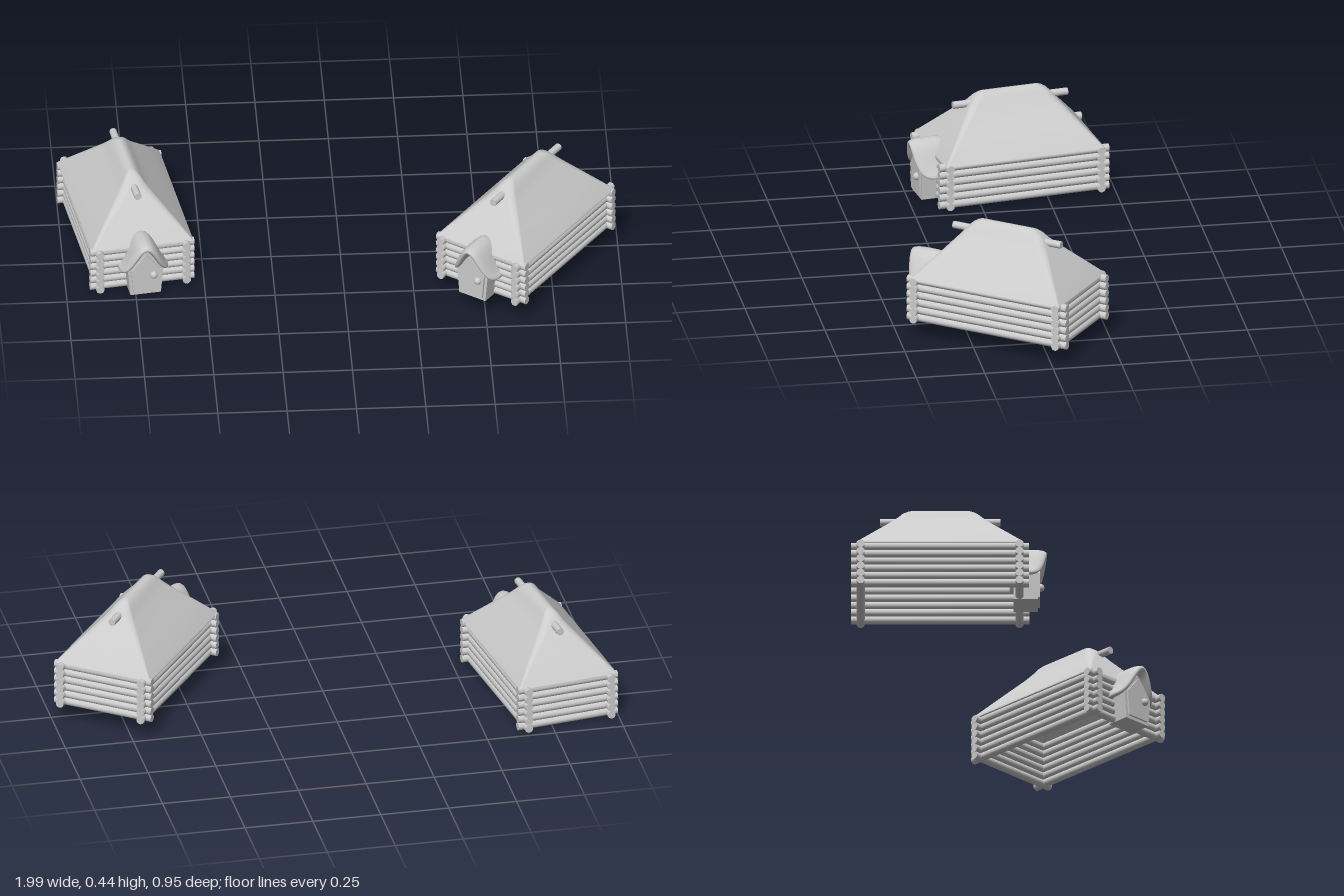
import * as THREE from 'three';

const material = new THREE.MeshStandardMaterial({ color: 0xcccccc, side: THREE.DoubleSide });
const LOG_R = 0.0148, LOG_STEP = 0.0288, LOG_ROWS = 6;

function add(parent, name, geometry, x = 0, y = 0, z = 0) {
  const mesh = new THREE.Mesh(geometry, material);
  mesh.name = name;
  mesh.position.set(x, y, z);
  parent.add(mesh);
  return mesh;
}

// Skin through a list of closed rings with equal point counts
function loft(rings) {
  const n = rings[0].length, pos = [], index = [];
  rings.forEach(ring => ring.forEach(p => pos.push(...p)));
  for (let r = 0; r < rings.length - 1; r++) {
    for (let i = 0; i < n; i++) {
      const a = r * n + i, b = r * n + (i + 1) % n;
      index.push(a, a + n, b, b, a + n, b + n);
    }
  }
  const g = new THREE.BufferGeometry();
  g.setAttribute('position', new THREE.Float32BufferAttribute(pos, 3));
  g.setIndex(index);
  g.computeVertexNormals();
  return g;
}

// Horizontal rounded rectangle with half sizes a (x) and b (z)
function roundedRing(y, a, b, r) {
  const ring = [];
  for (let c = 0; c < 4; c++) {
    const sx = c === 0 || c === 3 ? 1 : -1, sz = c < 2 ? 1 : -1;
    for (let k = 0; k <= 5; k++) {
      const t = (c + k / 5) * Math.PI / 2;
      ring.push([sx * (a - r) + r * Math.cos(t), y, sz * (b - r) + r * Math.sin(t)]);
    }
  }
  return ring;
}

// Hipped roof with a softened ridge: height, half width, half length, corner radius
function roofGeometry() {
  const levels = [
    [0.163, 0.187, 0.300, 0.006], [0.170, 0.187, 0.300, 0.006], [0.24, 0.125, 0.239, 0.016],
    [0.310, 0.062, 0.178, 0.026], [0.335, 0.042, 0.157, 0.026], [0.355, 0.029, 0.139, 0.022],
    [0.367, 0.017, 0.120, 0.015], [0.372, 0.008, 0.104, 0.007], [0.373, 0, 0.095, 0],
  ];
  return loft(levels.map(l => roundedRing(...l)));
}

// Bell-shaped awning: a thick rounded band swept over the doorway
function awningGeometry() {
  const rings = [], steps = 28;
  for (let s = 0; s <= steps; s++) {
    const u = -Math.cos(s / steps * Math.PI);
    const x = 0.09 * u, y = 0.092 + 0.056 * (1 + Math.cos(Math.PI * u));
    const dy = -0.056 * Math.PI * Math.sin(Math.PI * u), len = Math.hypot(0.09, dy);
    const side = Math.sqrt(Math.max(0, 1 - u * u));
    const half = 0.015 * Math.sqrt(side);
    const back = 0.25, front = 0.31 + 0.075 * side;
    const ring = [];
    for (let i = 0; i < 20; i++) {
      const t = i / 20 * Math.PI * 2, c = Math.cos(t);
      const h = half * Math.sin(t);
      const z = (front + back) / 2 + (front - back) / 2 * Math.sign(c) * Math.pow(Math.abs(c), 0.6);
      ring.push([x - dy / len * h, y + 0.09 / len * h, z]);
    }
    rings.push(ring);
  }
  return loft(rings);
}

// Pointed door outline: half width at base, at shoulder, and heights
function doorOutline(target, base, shoulder, bottom, eave, apex) {
  target.moveTo(-base, bottom);
  target.lineTo(base, bottom);
  target.lineTo(shoulder, eave);
  target.lineTo(0, apex);
  target.lineTo(-shoulder, eave);
  target.closePath();
  return target;
}

function extrude(shape, depth) {
  return new THREE.ExtrudeGeometry(shape, { depth, bevelEnabled: false });
}

function createHouse(name) {
  const house = new THREE.Group();
  house.name = name;

  // Stacked log walls with crossing ends
  const walls = new THREE.Group();
  walls.name = 'logWalls';
  house.add(walls);
  const longLog = new THREE.CylinderGeometry(LOG_R, LOG_R, 0.642, 14).rotateX(Math.PI / 2);
  const crossLog = new THREE.CylinderGeometry(LOG_R, LOG_R, 0.382, 14).rotateZ(Math.PI / 2);
  for (let row = 0; row < LOG_ROWS; row++) {
    const y = LOG_R + row * LOG_STEP;
    for (const s of [-1, 1]) {
      add(walls, 'sideLog', longLog, s * 0.159, y, 0);
      add(walls, s > 0 ? 'frontLog' : 'backLog', crossLog, 0, y, s * 0.286);
    }
  }

  add(house, 'roof', roofGeometry());

  // Ridge pole poking out of both hips
  add(house, 'ridgePole', new THREE.CylinderGeometry(0.0135, 0.0135, 0.434, 14).rotateX(Math.PI / 2), 0, 0.329, 0);

  // Porch: hollow surround, door, knob and awning
  const surround = doorOutline(new THREE.Shape(), 0.056, 0.066, 0, 0.11, 0.185);
  surround.holes.push(doorOutline(new THREE.Path(), 0.044, 0.053, 0.012, 0.105, 0.168));
  add(house, 'doorSurround', extrude(surround, 0.088), 0, 0, 0.265);
  add(house, 'door', extrude(doorOutline(new THREE.Shape(), 0.046, 0.054, 0.012, 0.105, 0.169), 0.02), 0, 0, 0.34);
  add(house, 'doorKnob', new THREE.SphereGeometry(0.014, 16, 12), 0.028, 0.083, 0.362);
  add(house, 'awning', awningGeometry());
  return house;
}

export function createModel() {
  const model = new THREE.Group();
  model.name = 'logHouses';
  const lower = createHouse('lowerHouse');
  lower.position.set(-0.767, 0, -0.138);
  lower.rotation.y = 0.15;
  const upper = createHouse('upperHouse');
  upper.position.set(0.662, 0.064, 0.11);
  upper.rotation.y = -0.634;
  model.add(lower, upper);
  return model;
}
